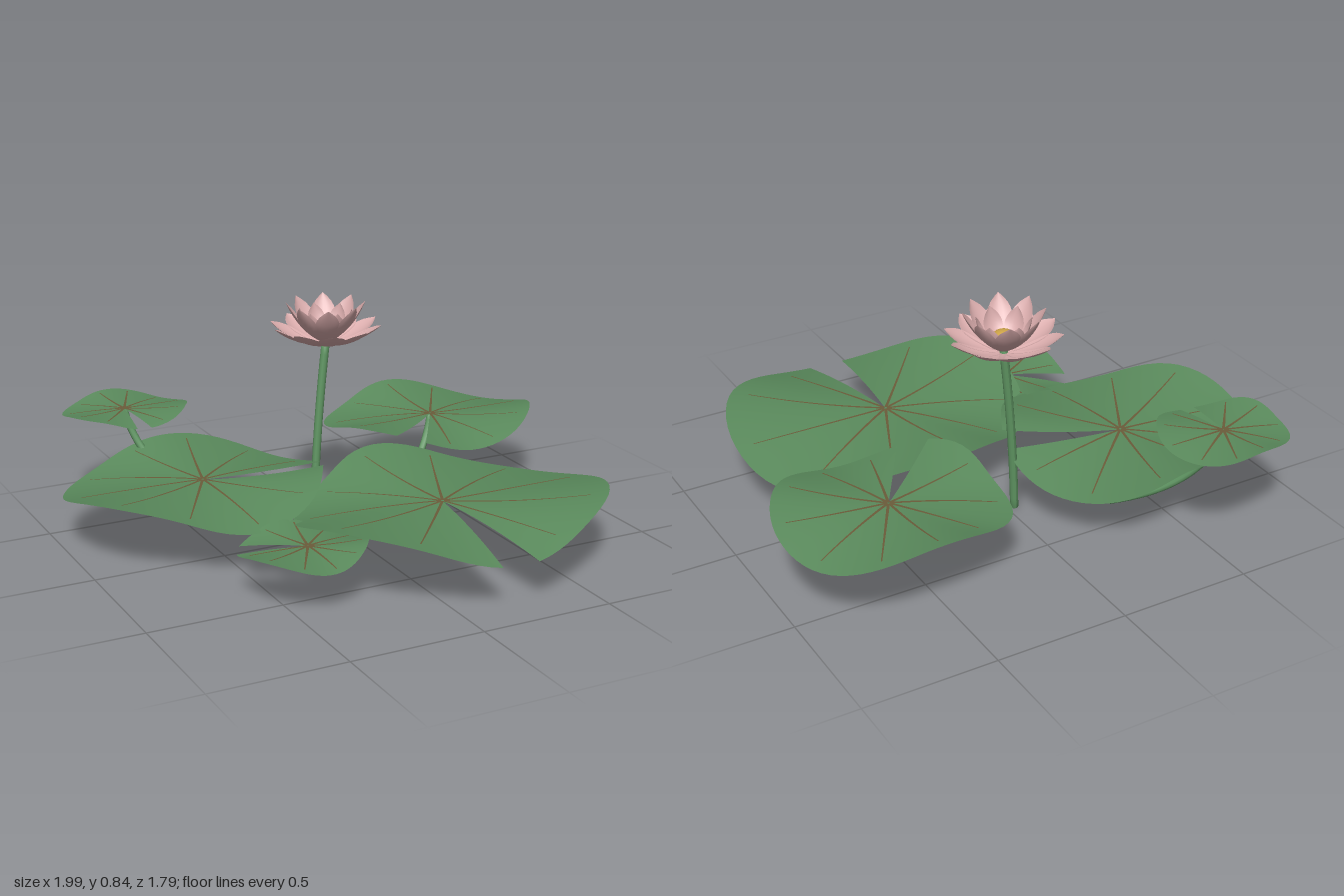
import * as THREE from 'three';

const mat = (name, color, side = THREE.FrontSide) => {
  const m = new THREE.MeshStandardMaterial({ color, side });
  m.name = name;
  return m;
};

// Smooth surface patch from a rule f(u, v) -> [x, y, z]; u runs around, v outwards
function patch(f, nu, nv) {
  const pos = [], idx = [];
  for (let i = 0; i <= nu; i++)
    for (let j = 0; j <= nv; j++) pos.push(...f(i / nu, j / nv));
  for (let i = 0; i < nu; i++)
    for (let j = 0; j < nv; j++) {
      const a = i * (nv + 1) + j, b = a + nv + 1;
      idx.push(a, b, a + 1, b, b + 1, a + 1);
    }
  const g = new THREE.BufferGeometry();
  g.setAttribute('position', new THREE.Float32BufferAttribute(pos, 3));
  g.setIndex(idx);
  g.computeVertexNormals();
  return g;
}

const rad = THREE.MathUtils.degToRad;

// Leaf pads: centre, slit direction and half angle (degrees), rim wave height,
// and rim radius every 30 degrees from +x towards +z
const PADS = [
  { name: 'frontPad', c: [0.21, 0.21, 0.355], slit: 90, half: 7.5, wave: 0.055,
    r: [0.62, 0.6, 0.55, 0.54, 0.53, 0.58, 0.57, 0.53, 0.5, 0.54, 0.53, 0.61] },
  { name: 'backRightPad', c: [-0.48, 0.215, -0.24], slit: 14, half: 6.5, wave: 0.045,
    r: [0.47, 0.45, 0.48, 0.49, 0.46, 0.51, 0.52, 0.51, 0.45, 0.44, 0.5, 0.48] },
  { name: 'backLeftPad', c: [0.57, 0.285, -0.37], slit: 130, half: 8, wave: 0.04,
    r: [0.42, 0.4, 0.39, 0.37, 0.385, 0.42, 0.4, 0.43, 0.38, 0.38, 0.4, 0.42] },
  { name: 'smallBackPad', c: [-0.62, 0.39, -0.68], slit: 90, half: 7, wave: 0.018,
    r: [0.25, 0.24, 0.24, 0.22, 0.21, 0.24, 0.23, 0.24, 0.22, 0.22, 0.24, 0.24] },
  { name: 'smallFrontPad', c: [-0.37, 0.168, 0.43], slit: 209, half: 9.5, wave: 0.022,
    r: [0.22, 0.21, 0.21, 0.22, 0.24, 0.25, 0.24, 0.25, 0.23, 0.22, 0.22, 0.22] },
];

// Point on a pad at angle a (degrees) and t from centre (0) to rim (1)
function padSurface(p) {
  return (a, t) => {
    const k = (((a % 360) + 360) % 360) / 30;
    const i = Math.floor(k), f = k - i, R = n => p.r[(i + n + 12) % 12];
    const rim = R(0) + 0.5 * f * (R(1) - R(-1) + f * (2 * R(-1) - 5 * R(0) + 4 * R(1) - R(2)
      + f * (3 * (R(0) - R(1)) + R(2) - R(-1))));
    const y = p.wave * t * t * Math.cos(3 * rad(a - 30));
    return [rim * t * Math.cos(rad(a)), y, rim * t * Math.sin(rad(a))];
  };
}

function buildPad(p, leaf, vein, stem) {
  const group = new THREE.Group();
  group.name = p.name;
  const S = padSurface(p);

  // Leaf blade with its slit
  const sweep = 360 - 2 * p.half;
  const blade = new THREE.Mesh(
    patch((u, v) => S(p.slit + p.half + u * sweep, v), 72, 12), leaf);
  blade.name = 'leafBlade';

  // Ten tapering veins lying on the blade
  const veins = new THREE.Group();
  veins.name = 'veins';
  for (let i = 0; i < 10; i++) {
    const a = p.slit - 24 - 33 * i;
    const m = new THREE.Mesh(patch((u, v) => {
      const [x, y, z] = S(a, 0.01 + 0.88 * v);
      const w = (u - 0.5) * 0.011 * (1 - 0.6 * v);
      return [x - w * Math.sin(rad(a)), y + 0.0025, z + w * Math.cos(rad(a))];
    }, 1, 14), vein);
    m.name = 'vein';
    veins.add(m);
  }
  const top = new THREE.Group();
  top.name = 'leaf';
  top.position.set(...p.c);
  top.add(blade, veins);

  // Stalk rising outwards from the root to the pad's centre
  const [x, y, z] = p.c;
  const stalk = buildStalk([[x * 0.56, 0.018, z * 0.56], [x * 0.93, y * 0.35, z * 0.93], [x, y - 0.004, z]], 0.014);
  group.add(top, new THREE.Mesh(stalk, stem));
  group.children[1].name = 'padStalk';
  return group;
}

// Closed tube along a quadratic curve
function buildStalk(points, radius) {
  const curve = new THREE.QuadraticBezierCurve3(...points.map(q => new THREE.Vector3(...q)));
  const n = 16, frames = curve.computeFrenetFrames(n);
  return patch((u, v) => {
    const k = Math.round(v * (n + 2)) - 1;
    const s = Math.min(Math.max(k, 0), n);
    const r = k < 0 || k > n ? 0 : radius;
    const c = curve.getPoint(s / n);
    c.addScaledVector(frames.normals[s], r * Math.cos(u * 2 * Math.PI));
    c.addScaledVector(frames.binormals[s], r * Math.sin(u * 2 * Math.PI));
    return c.toArray();
  }, 10, n + 2);
}

// Petal pointing along +x, cupped across its width
function petalGeometry({ base, mid, tip, width, cup }) {
  const spine = new THREE.QuadraticBezierCurve(
    new THREE.Vector2(...base), new THREE.Vector2(...mid), new THREE.Vector2(...tip));
  const outline = new THREE.SplineCurve(
    [[0, 0.3], [0.25, 0.62], [0.5, 0.94], [0.68, 1], [0.86, 0.68], [1, 0.02]].map(q => new THREE.Vector2(...q)));
  return patch((u, v) => {
    const o = outline.getPoint(v), c = spine.getPoint(o.x), d = spine.getTangent(o.x);
    const s = (u - 0.5) * 2, lift = cup * s * s * o.y;
    return [c.x - d.y * lift, c.y + d.x * lift, s * o.y * width / 2];
  }, 6, 10);
}

function buildFlower(petal, pod) {
  const flower = new THREE.Group();
  flower.name = 'flower';
  flower.position.set(0.035, 0.675, -0.24);
  const rings = [
    { name: 'outerPetal', n: 10, turn: 0, base: [0.01, 0], mid: [0.13, 0.01], tip: [0.212, 0.082], width: 0.105, cup: 0.012 },
    { name: 'middlePetal', n: 8, turn: 22.5, base: [0.01, 0.008], mid: [0.1, 0.05], tip: [0.15, 0.165], width: 0.09, cup: 0.012 },
    { name: 'innerPetal', n: 6, turn: 30, base: [0.01, 0.015], mid: [0.09, 0.04], tip: [0.1, 0.14], width: 0.075, cup: 0.01 },
  ];
  for (const ring of rings) {
    const g = petalGeometry(ring);
    for (let i = 0; i < ring.n; i++) {
      const m = new THREE.Mesh(g, petal);
      m.name = ring.name;
      m.rotation.y = rad(ring.turn + i * 360 / ring.n);
      flower.add(m);
    }
  }
  // Golden centre
  const heart = new THREE.Mesh(new THREE.SphereGeometry(0.046, 20, 12), pod);
  heart.name = 'flowerCentre';
  heart.scale.y = 0.7;
  heart.position.y = 0.056;
  flower.add(heart);
  return flower;
}

export function createModel() {
  const leaf = mat('leaf green', 0x5a8a5c, THREE.DoubleSide);
  const stem = mat('stem green', 0x5f9562, THREE.DoubleSide);
  const vein = mat('vein brown', 0x6b5c3a, THREE.DoubleSide);
  const petal = mat('petal pink', 0xdcaeae, THREE.DoubleSide);
  const pod = mat('centre gold', 0xcfa548);

  const model = new THREE.Group();
  model.name = 'waterLily';
  for (const p of PADS) model.add(buildPad(p, leaf, vein, stem));

  // Tall flower stalk
  const stalk = new THREE.Mesh(
    buildStalk([[-0.03, 0.002, -0.215], [-0.01, 0.34, -0.235], [0.035, 0.68, -0.24]], 0.016), stem);
  stalk.name = 'flowerStalk';
  model.add(stalk, buildFlower(petal, pod));
  return model;
}
